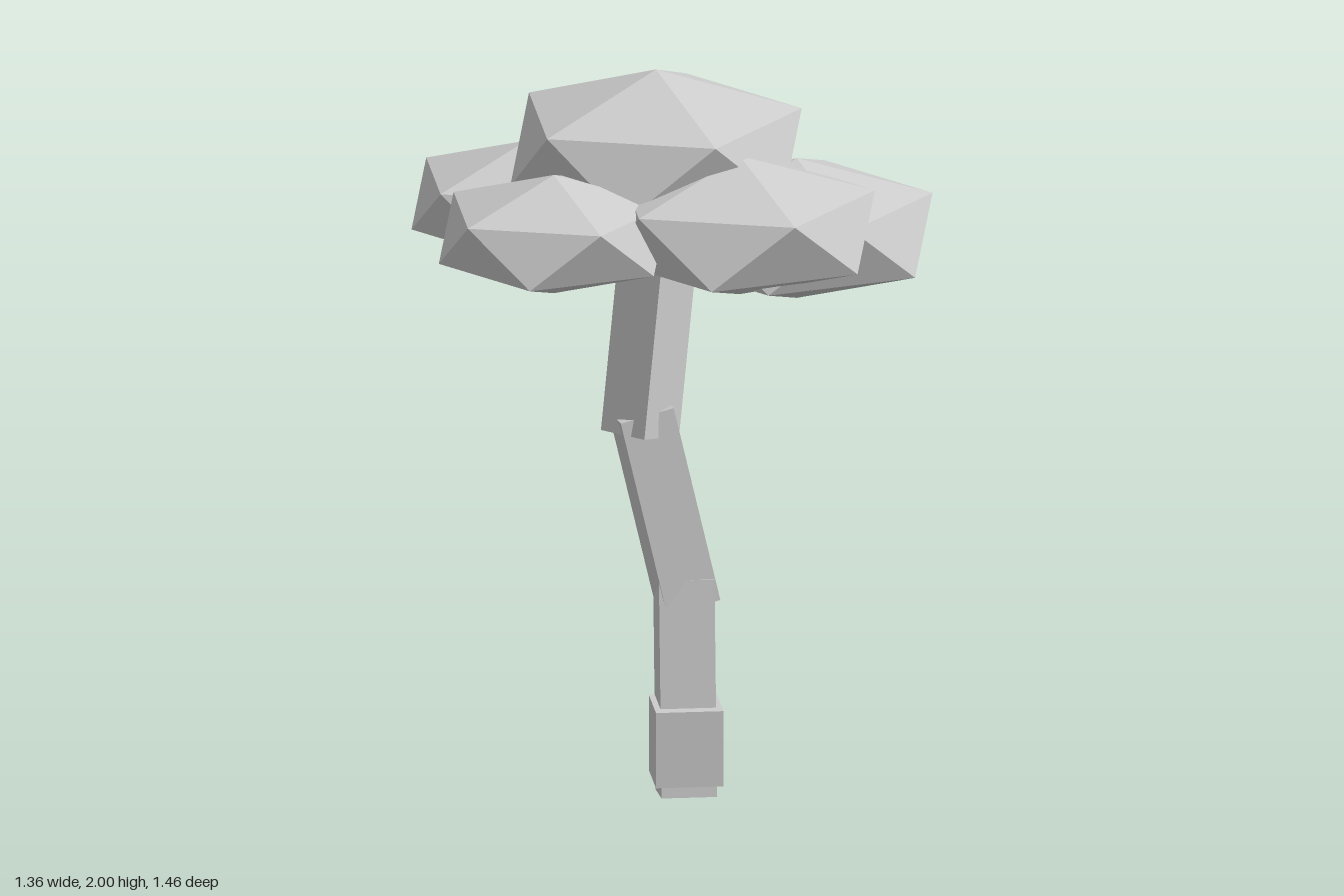
import * as THREE from 'three';

export function createModel() {
  const tree = new THREE.Group();
  tree.name = 'tree';
  const grey = new THREE.MeshStandardMaterial({ color: 0xcccccc, flatShading: true });
  grey.name = 'plain grey';

  function add(name, geometry) {
    const mesh = new THREE.Mesh(geometry, grey);
    mesh.name = name;
    tree.add(mesh);
    return mesh;
  }

  // Square post running from one point to another, turned about its own axis
  const up = new THREE.Vector3(0, 1, 0);
  function post(name, from, to, width, yaw = 0) {
    const a = new THREE.Vector3(...from), b = new THREE.Vector3(...to);
    const mesh = add(name, new THREE.BoxGeometry(width, a.distanceTo(b), width));
    mesh.position.copy(a).lerp(b, 0.5);
    mesh.quaternion.setFromUnitVectors(up, b.clone().sub(a).normalize());
    mesh.quaternion.multiply(new THREE.Quaternion().setFromAxisAngle(up, yaw));
  }

  // Trunk: a square collar around three leaning posts
  post('trunkCollar', [0.01, 0.05, 0.203], [0.01, 0.26, 0.203], 0.182);
  post('lowerTrunk', [0.01, 0.01, 0.21], [0.01, 0.598, 0.144], 0.15);
  post('middleTrunk', [0.02, 0.528, 0.143], [-0.107, 1.07, 0.152], 0.15, 0.13);
  post('upperTrunk', [-0.11, 1.005, 0.16], [-0.045, 1.6, 0.1], 0.15, Math.PI / 4);

  // Foliage: flattened icosahedra standing on a corner
  const clump = new THREE.IcosahedronGeometry(1, 0);
  clump.rotateZ(-Math.atan(2 / (1 + Math.sqrt(5))));
  const clumps = [
    // name, centre, radius, half height
    ['topFoliage', [-0.06, 1.783, 0.095], 0.44, 0.217],
    ['backFoliage', [-0.035, 1.568, -0.39], 0.408, 0.193],
    ['leftFoliage', [0.312, 1.568, 0.172], 0.41, 0.195],
    ['frontFoliage', [0.137, 1.638, 0.372], 0.408, 0.193],
    ['frontRightFoliage', [-0.37, 1.64, 0.415], 0.347, 0.165],
    ['backRightFoliage', [-0.37, 1.54, -0.28], 0.347, 0.165],
  ];
  for (const [name, centre, radius, height] of clumps) {
    const mesh = add(name, clump);
    mesh.position.set(...centre);
    mesh.scale.set(radius, height, radius);
  }
  return tree;
}
